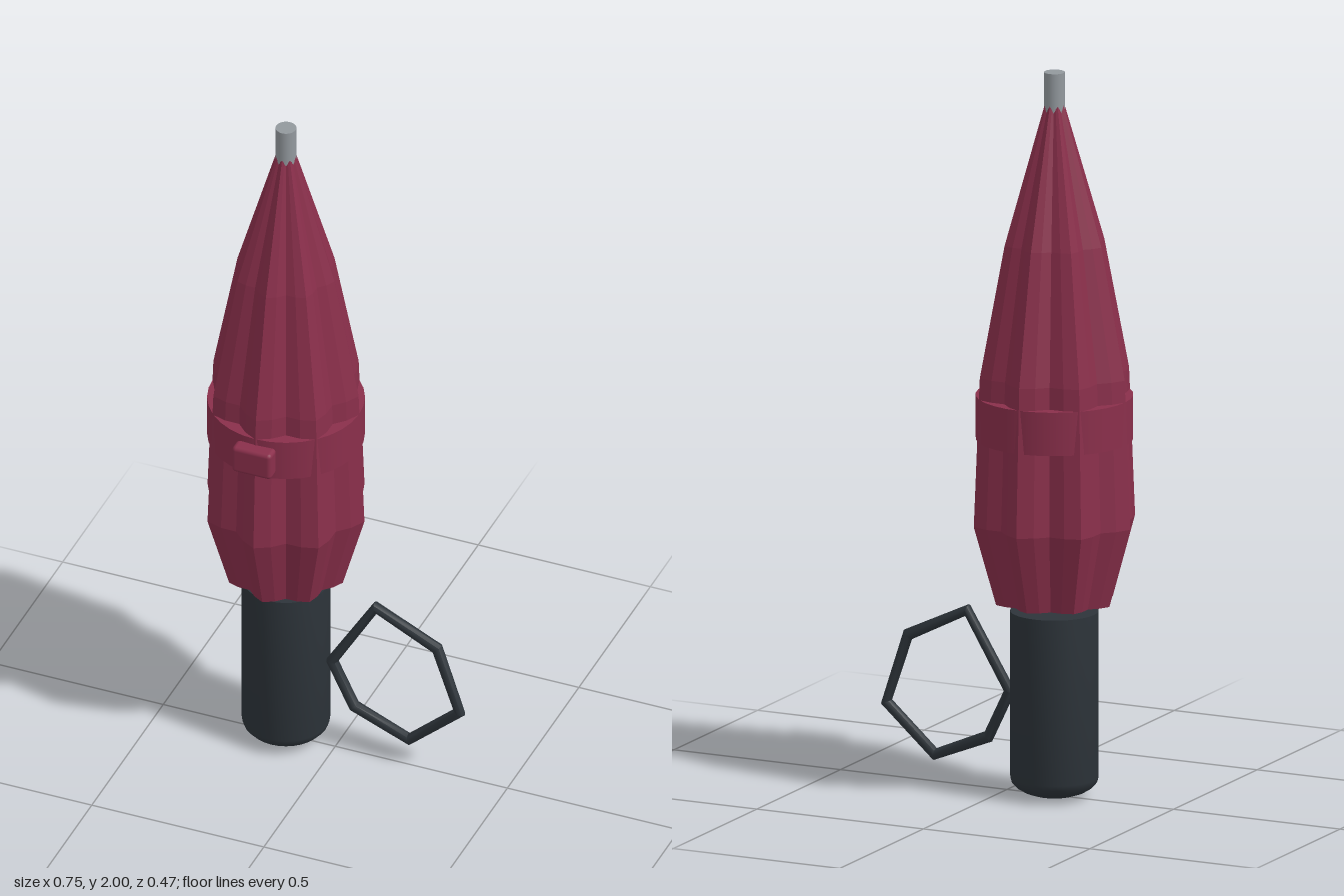
import * as THREE from 'three';
import { toCreasedNormals } from 'three/addons/utils/BufferGeometryUtils.js';
import { RoundedBoxGeometry } from 'three/addons/geometries/RoundedBoxGeometry.js';

const AXIS_X = -0.147, AXIS_Z = -0.009;

function material(name, color) {
  const m = new THREE.MeshStandardMaterial({ color });
  m.name = name;
  return m;
}

// Pleated canopy: star-shaped rings with 8 ribs, lofted and capped
function canopyGeometry() {
  const rings = [[0.54, 0.165], [0.76, 0.228], [1.17, 0.211], [1.53, 0.141], [1.91, 0.028]];
  const pleat = [1, 0.92, 0.83, 0.92]; // rib, slope, valley, slope
  const n = 32, pos = [], idx = [];
  for (const [y, r] of rings) {
    for (let i = 0; i < n; i++) {
      const a = (i / n) * Math.PI * 2, k = r * pleat[i % 4];
      pos.push(Math.cos(a) * k, y, Math.sin(a) * k);
    }
  }
  for (let j = 0; j < rings.length - 1; j++) {
    for (let i = 0; i < n; i++) {
      const a = j * n + i, b = j * n + (i + 1) % n;
      idx.push(a, a + n, b, b, a + n, b + n);
    }
  }
  const low = pos.length / 3, top = low + 1, last = (rings.length - 1) * n;
  pos.push(0, rings[0][0], 0, 0, rings.at(-1)[0], 0);
  for (let i = 0; i < n; i++) {
    const next = (i + 1) % n;
    idx.push(low, i, next, top, last + next, last + i);
  }
  const g = new THREE.BufferGeometry();
  g.setAttribute('position', new THREE.Float32BufferAttribute(pos, 3));
  g.setIndex(idx);
  const flat = g.toNonIndexed();
  flat.computeVertexNormals();
  return flat;
}

// Six-cornered wrist loop: a torus with its rings moved to the corners
function loopGeometry() {
  const corners = [[0.373, 0.2], [0.305, 0.41], [0.11, 0.502], [-0.03, 0.275], [0.04, 0.13], [0.215, 0.06]];
  const cx = 0.168, cy = 0.28, tube = 0.016, sides = 8;
  const g = new THREE.TorusGeometry(0.2, tube, sides, 6);
  const p = g.attributes.position;
  for (let j = 0; j <= sides; j++) {
    const v = (j / sides) * Math.PI * 2;
    for (let i = 0; i <= 6; i++) {
      const [x, y] = corners[i % 6];
      const len = Math.hypot(x - cx, y - cy);
      const k = (len - 0.017 + 0.017 * Math.cos(v)) / len;
      p.setXYZ(j * 7 + i, cx + (x - cx) * k, cy + (y - cy) * k, tube * Math.sin(v));
    }
  }
  return toCreasedNormals(g, 0.9);
}

export function createModel() {
  const model = new THREE.Group();
  model.name = 'foldedUmbrella';
  const fabric = material('burgundy fabric', 0x8a2f4b);
  const dark = material('dark grip', 0x2d343a);
  const metal = material('grey metal', 0x92989d);

  const add = (name, geometry, mat, x = AXIS_X, y = 0, z = AXIS_Z) => {
    const mesh = new THREE.Mesh(geometry, mat);
    mesh.name = name;
    mesh.position.set(x, y, z);
    model.add(mesh);
    return mesh;
  };

  // Shaft and canopy
  add('shaft', new THREE.CylinderGeometry(0.028, 0.028, 1.55, 24), metal, AXIS_X, 1.225);
  add('canopy', canopyGeometry(), fabric);

  // Closing band with its fastener
  add('band', new THREE.CylinderGeometry(0.212, 0.212, 0.12, 32), fabric, AXIS_X, 1.05);
  add('fastener', new RoundedBoxGeometry(0.115, 0.082, 0.045, 2, 0.012), fabric, AXIS_X, 1.05, 0.2145);

  // Handle with a shallow domed base
  const profile = [];
  for (let i = 0; i <= 6; i++) {
    const a = (i / 6) * Math.PI / 2;
    profile.push(new THREE.Vector2(0.119 * Math.sin(a), 0.055 - 0.055 * Math.cos(a)));
  }
  profile.push(new THREE.Vector2(0.119, 0.513), new THREE.Vector2(0, 0.513));
  add('handle', toCreasedNormals(new THREE.LatheGeometry(profile, 32), 0.6), dark);

  // Wrist loop
  add('wristLoop', loopGeometry(), dark, 0);
  return model;
}
